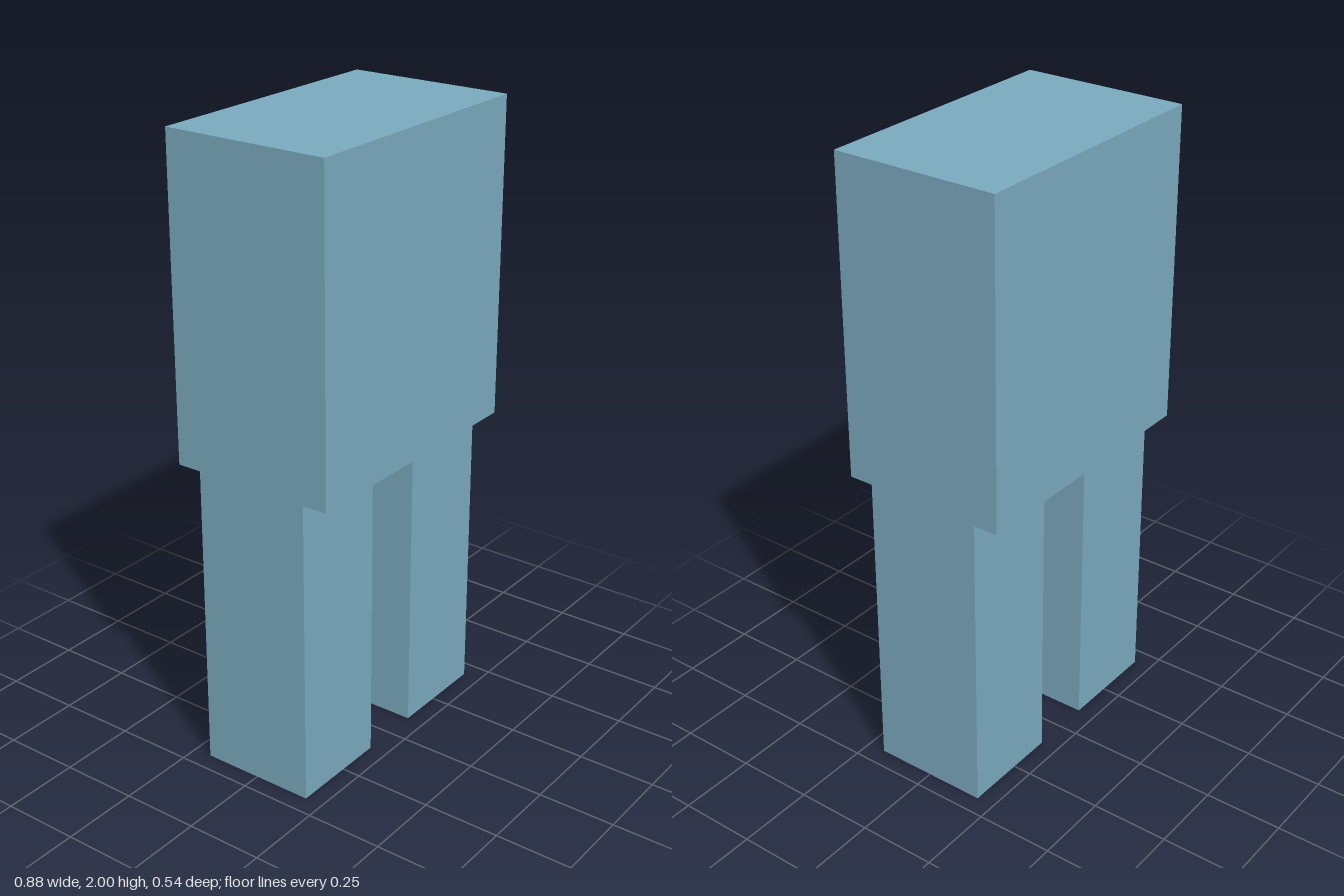
import * as THREE from 'three';

export function createModel() {
  const model = new THREE.Group();
  model.name = 'blockFigure';

  const blue = new THREE.MeshStandardMaterial({ color: 0x7aa9be });
  blue.name = 'dustyBlue';

  // Adds a box standing on the given height
  function addBlock(name, width, height, depth, x, bottom) {
    const mesh = new THREE.Mesh(new THREE.BoxGeometry(width, height, depth), blue);
    mesh.name = name;
    mesh.position.set(x, bottom + height / 2, 0);
    model.add(mesh);
  }

  const legHeight = 0.99;

  // Torso, flush with the outer sides of the legs
  addBlock('torso', 0.88, 2 - legHeight, 0.54, 0, legHeight);

  // Mirrored legs
  for (const [name, side] of [['leftLeg', 1], ['rightLeg', -1]]) {
    addBlock(name, 0.336, legHeight, 0.38, side * 0.272, 0);
  }

  return model;
}
